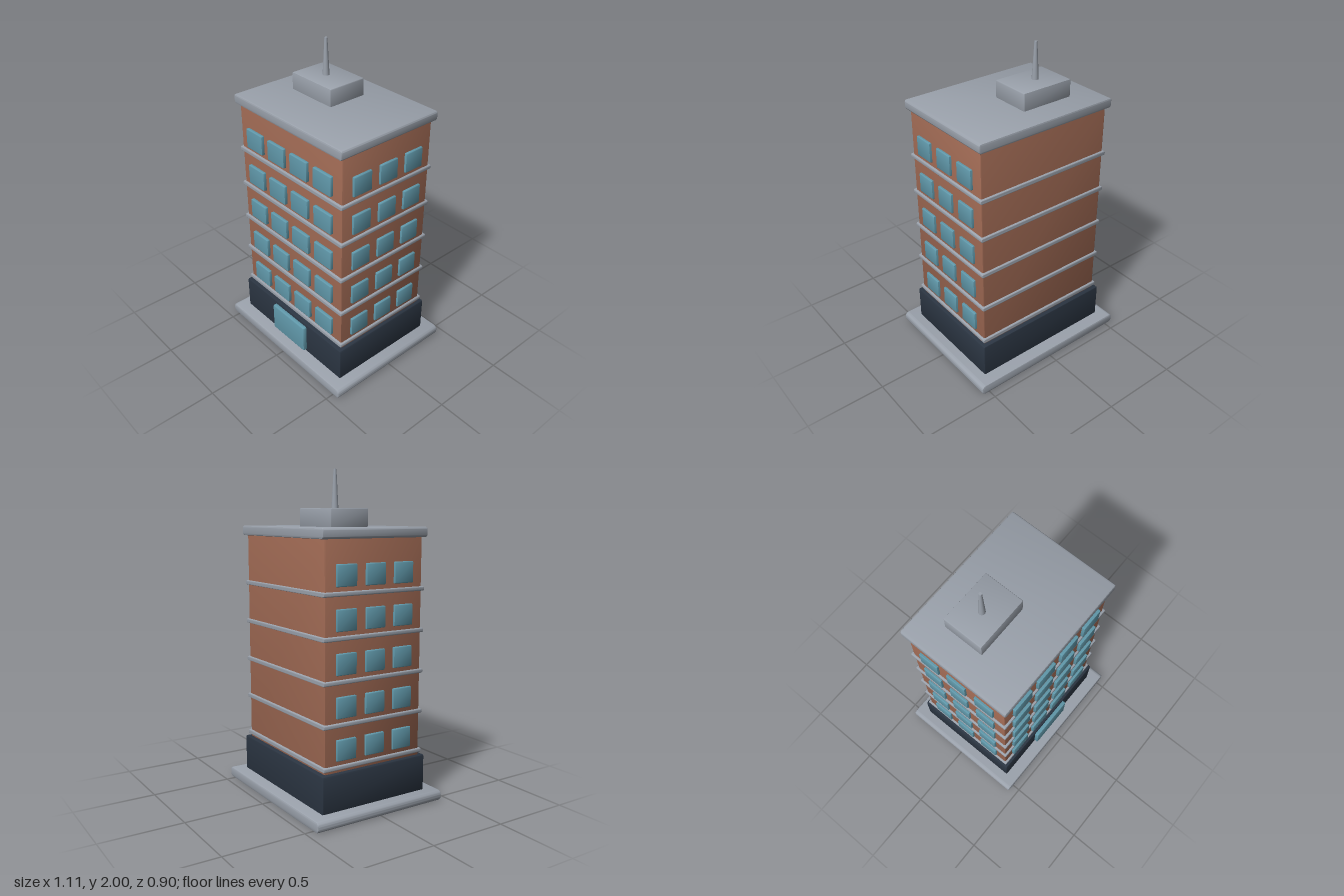
import * as THREE from 'three';
import { toCreasedNormals } from 'three/addons/utils/BufferGeometryUtils.js';

const paint = (name, color) => {
  const m = new THREE.MeshStandardMaterial({ color });
  m.name = name;
  return m;
};

// Rounded front outline (radius r), extruded along z with a small bevel b
function block(w, h, d, r, b) {
  const x = w / 2 - b, y = h / 2 - b, c = Math.max(r - b, 0.001);
  const s = new THREE.Shape();
  s.moveTo(-x + c, -y);
  s.lineTo(x - c, -y);
  s.absarc(x - c, -y + c, c, -Math.PI / 2, 0);
  s.lineTo(x, y - c);
  s.absarc(x - c, y - c, c, 0, Math.PI / 2);
  s.lineTo(-x + c, y);
  s.absarc(-x + c, y - c, c, Math.PI / 2, Math.PI);
  s.lineTo(-x, -y + c);
  s.absarc(-x + c, -y + c, c, Math.PI, Math.PI * 1.5);
  const g = new THREE.ExtrudeGeometry(s, {
    depth: d - 2 * b, bevelEnabled: true, bevelThickness: b, bevelSize: b,
    bevelSegments: 2, curveSegments: 4,
  });
  g.translate(0, 0, -(d - 2 * b) / 2);
  return toCreasedNormals(g, 0.6);
}

export function createModel() {
  const root = new THREE.Group();
  root.name = 'officeBuilding';
  const grey = paint('concrete', 0x9aa1ab);
  const brick = paint('brick', 0xa06a54);
  const glass = paint('glass', 0x6199ab);
  const dark = paint('darkPodium', 0x2b3542);

  const add = (name, geometry, material, x, y, z, parent = root) => {
    const m = new THREE.Mesh(geometry, material);
    m.name = name;
    m.position.set(x, y, z);
    parent.add(m);
    return m;
  };

  // Main masses
  add('baseSlab', block(1.11, 0.066, 0.896, 0.028, 0.01), grey, 0, 0.033, 0);
  add('podium', block(0.954, 0.229, 0.734, 0.012, 0.008), dark, 0, 0.1755, 0);
  add('tower', block(0.908, 1.35, 0.676, 0.012, 0.008), brick, 0, 0.95, 0);
  add('roofSlab', block(0.952, 0.06, 0.728, 0.016, 0.009), grey, 0, 1.639, 0);
  add('entrance', block(0.315, 0.19, 0.04, 0.01, 0.008), glass, -0.002, 0.175, 0.373);

  // Rooftop plant room and mast
  add('plantRoom', block(0.344, 0.115, 0.257, 0.006, 0.005), grey, -0.129, 1.718, -0.068);
  add('mast', new THREE.CylinderGeometry(0.009, 0.021, 0.23, 16), grey, -0.143, 1.885, -0.067);

  // Five storeys: a belt course below a row of windows on the front and both sides
  const belt = block(0.934, 0.027, 0.704, 0.011, 0.006);
  const frontWindow = block(0.15, 0.125, 0.03, 0.006, 0.004);
  const sideWindow = block(0.03, 0.125, 0.132, 0.007, 0.004);
  for (let i = 0; i < 5; i++) {
    const storey = new THREE.Group();
    storey.name = 'storey' + (i + 1);
    storey.position.y = 0.318 + i * 0.2477;
    root.add(storey);
    add('beltCourse', belt, grey, 0, 0, 0, storey);
    for (let k = 0; k < 4; k++) {
      add('frontWindow', frontWindow, glass, (k - 1.5) * 0.2045, 0.102, 0.343, storey);
    }
    for (const side of [-1, 1]) {
      for (let k = -1; k <= 1; k++) {
        add(side > 0 ? 'leftWindow' : 'rightWindow', sideWindow, glass, side * 0.454, 0.102, k * 0.198, storey);
      }
    }
  }
  return root;
}
